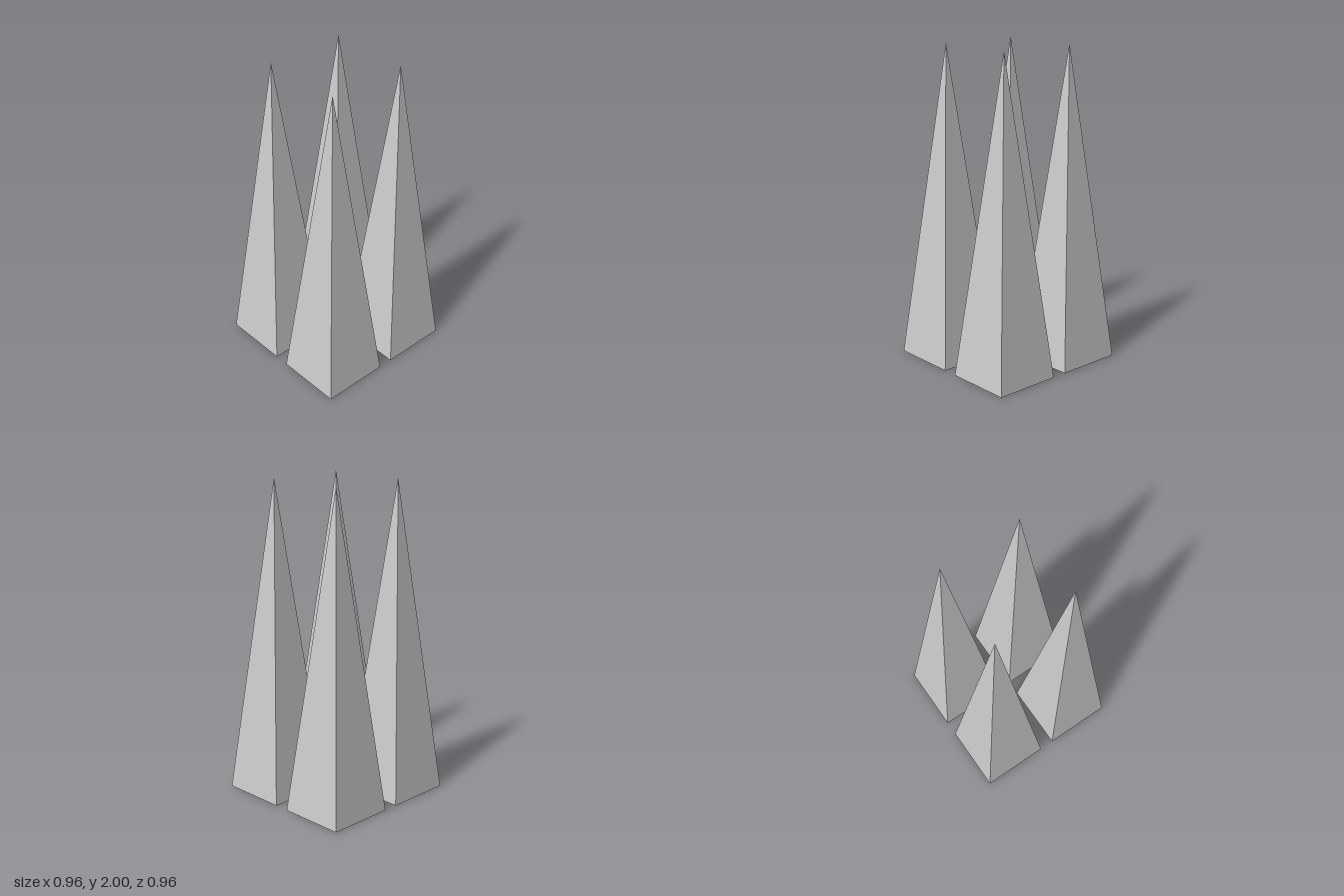
import * as THREE from 'three';

const HEIGHT = 2;
const BASE = 0.431;   // side of each square base
const OFFSET = 0.263; // distance of each spike's axis from the centre planes

export function createModel() {
  const model = new THREE.Group();
  model.name = 'spikeCluster';
  const material = new THREE.MeshStandardMaterial({ color: 0xcccccc, flatShading: true });

  // Four-sided spike, turned so its base edges lie along x and z, standing on y = 0
  const spike = new THREE.ConeGeometry(BASE / Math.SQRT2, HEIGHT, 4, 1);
  spike.rotateY(Math.PI / 4);
  spike.translate(0, HEIGHT / 2, 0);

  // One spike in each quadrant
  for (const [xName, sx] of [['Left', 1], ['Right', -1]]) {
    for (const [zName, sz] of [['front', 1], ['back', -1]]) {
      const mesh = new THREE.Mesh(spike, material);
      mesh.name = `${zName}${xName}Spike`;
      mesh.position.set(sx * OFFSET, 0, sz * OFFSET);
      model.add(mesh);
    }
  }
  return model;
}
